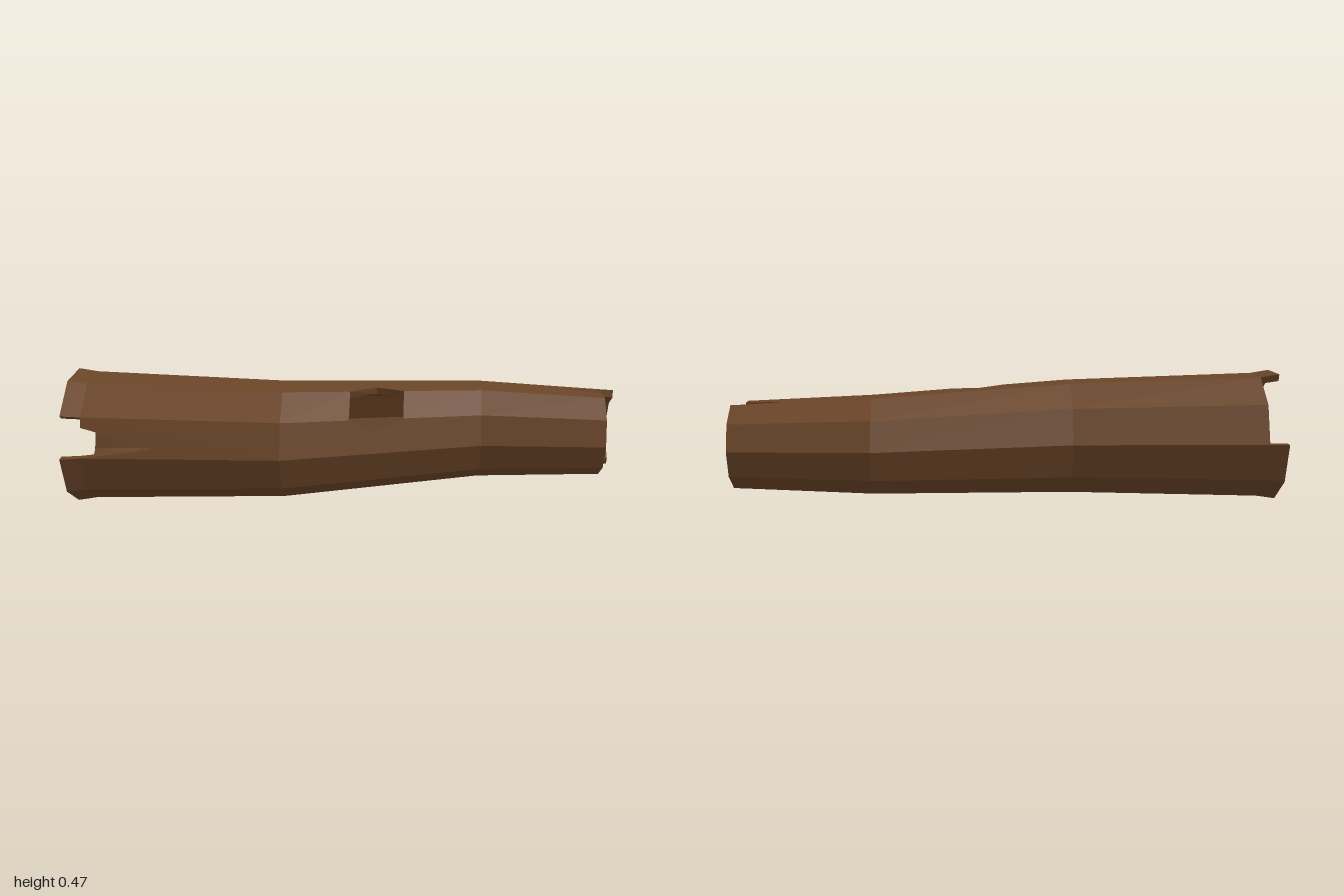
import * as THREE from 'three';

const SIDES = 10, WALL = 0.027, AXIS_Y = 0.236;
// Ring stations along the log: x, centre z, radius
const RINGS = [
  [-1, 0.045, 0.248], [-0.93, 0.042, 0.237], [-0.22, 0.04, 0.215],
  [0.5, -0.112, 0.181], [0.955, -0.103, 0.16], [1, -0.102, 0.158],
];

// Point on the bark (inset 0) or the hollow (inset WALL); u counts facets round the log
function logPoint(x, u, inset) {
  let i = 0;
  while (i < RINGS.length - 2 && x > RINGS[i + 1][0]) i++;
  const [a, b] = [RINGS[i], RINGS[i + 1]];
  const f = (x - a[0]) / (b[0] - a[0]);
  const cz = THREE.MathUtils.lerp(a[1], b[1], f);
  const r = THREE.MathUtils.lerp(a[2], b[2], f) - inset;
  const corner = (k) => {
    const t = (k / SIDES) * Math.PI * 2;
    return new THREE.Vector3(x, AXIS_Y + r * Math.sin(t), cz + r * Math.cos(t));
  };
  const k = Math.floor(u);
  return corner(k).lerp(corner(k + 1), u - k);
}

// Counter-clockwise (x, u) outlines that tile the log, leaving out its breaks
function makePatches() {
  const patches = [];
  const add = (k, pts) => patches.push(pts.map(([x, t]) => new THREE.Vector2(x, k + t)));
  const quad = (k, x0, x1) => add(k, [[x0, 0], [x1, 0], [x1, 1], [x0, 1]]);
  for (let k = 0; k < SIDES; k++) {
    // broken left end: front gap and back gap
    if (![0, 3, 4].includes(k)) quad(k, -1, -0.93);

    // long split running in from the front gap
    if (k === 0) add(k, [[-0.93, 0], [-0.22, 0], [-0.22, 1], [-0.93, 1], [-0.93, 0.75], [-0.67, 0.25]].map((p, i) => p));
    else quad(k, -0.93, -0.22);

    // knot hole across three facets
    if (k === 0) add(k, [[-0.22, 0], [0.5, 0], [0.5, 1], [0.215, 1], [0.12, 0.63], [0.02, 1], [-0.22, 1]]);
    else if (k === 1) { quad(k, -0.22, 0.02); quad(k, 0.215, 0.5); }
    else if (k === 2) add(k, [[-0.22, 0], [0.02, 0], [0.115, 0.35], [0.215, 0], [0.5, 0], [0.5, 1], [-0.22, 1]]);
    else quad(k, -0.22, 0.5);

    // small split in the top of the right end
    if (k === 2) add(k, [[0.5, 0], [0.955, 0], [0.955, 0.5], [0.81, 0.77], [0.955, 1], [0.5, 1]]);
    else quad(k, 0.5, 0.955);

    // the back of the right end reaches further
    if (k >= 3 && k <= 6) quad(k, 0.955, 1);
  }
  return patches;
}

function makeLogGeometry() {
  const patches = makePatches();
  const pos = [];
  const tri = (a, b, c) => pos.push(...a.toArray(), ...b.toArray(), ...c.toArray());
  const outer = (p) => logPoint(p.x, p.y, 0);
  const inner = (p) => logPoint(p.x, p.y, WALL);
  const key = (p) => `${p.x.toFixed(3)},${(p.y % SIDES).toFixed(3)}`;
  const edges = new Set();
  const eachEdge = (fn) => patches.forEach((pts) => pts.forEach((p, i) => fn(p, pts[(i + 1) % pts.length])));

  // bark and hollow
  for (const pts of patches) {
    for (const [a, b, c] of THREE.ShapeUtils.triangulateShape(pts, [])) {
      tri(outer(pts[a]), outer(pts[b]), outer(pts[c]));
      tri(inner(pts[a]), inner(pts[c]), inner(pts[b]));
    }
  }
  // broken edges: wall thickness wherever no neighbouring patch joins on
  eachEdge((a, b) => edges.add(`${key(a)}|${key(b)}`));
  eachEdge((a, b) => {
    if (edges.has(`${key(b)}|${key(a)}`)) return;
    tri(outer(a), inner(a), inner(b));
    tri(outer(a), inner(b), outer(b));
  });

  const geometry = new THREE.BufferGeometry();
  geometry.setAttribute('position', new THREE.Float32BufferAttribute(pos, 3));
  geometry.computeVertexNormals();
  return geometry;
}

export function createModel() {
  const group = new THREE.Group();
  group.name = 'hollowLog';
  const wood = new THREE.MeshStandardMaterial({ color: 0x6b4528, flatShading: true });
  const log = new THREE.Mesh(makeLogGeometry(), wood);
  log.name = 'logShell';
  group.add(log);
  return group;
}
